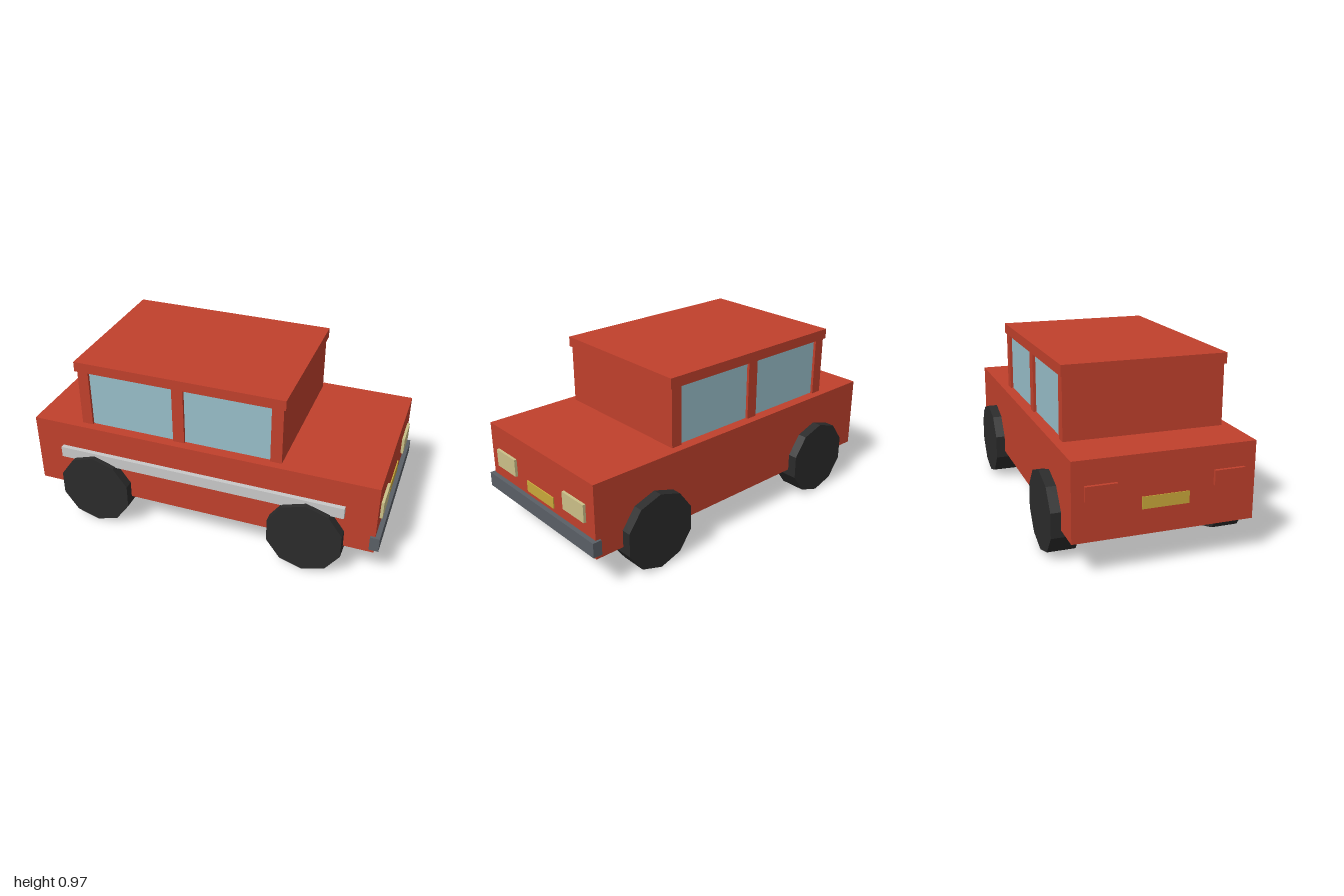
import * as THREE from 'three';

const material = (name, color) => {
  const m = new THREE.MeshStandardMaterial({ color });
  m.name = name;
  return m;
};

export function createModel() {
  const car = new THREE.Group();
  car.name = 'car';
  const red = material('red paint', 0xc0402c);
  const glass = material('window blue', 0x98bec9);
  const rubber = material('tyre black', 0x2b2b2b);
  const chrome = material('trim silver', 0xc8c8c8);
  const steel = material('bumper grey', 0x5a5f66);
  const lamp = material('lamp cream', 0xcbc088);
  const yellow = material('plate yellow', 0xc9a83a);

  // Box given by its limits on each axis
  const box = (name, mat, [x0, x1], [y0, y1], [z0, z1]) => {
    const mesh = new THREE.Mesh(new THREE.BoxGeometry(x1 - x0, y1 - y0, z1 - z0), mat);
    mesh.position.set((x0 + x1) / 2, (y0 + y1) / 2, (z0 + z1) / 2);
    mesh.name = name;
    car.add(mesh);
  };

  // Lower body
  box('body', red, [-0.983, 0.973], [0.183, 0.59], [-0.47, 0.47]);

  // Cabin: end walls and middle pillar with recessed glass between
  const cabinY = [0.59, 0.916];
  const cabinZ = [-0.425, 0.425];
  box('rearCabinWall', red, [-0.707, -0.645], cabinY, cabinZ);
  box('middlePillar', red, [-0.161, -0.097], cabinY, cabinZ);
  box('frontCabinWall', red, [0.385, 0.448], cabinY, cabinZ);
  box('rearWindows', glass, [-0.645, -0.161], cabinY, [-0.41, 0.41]);
  box('frontWindows', glass, [-0.097, 0.385], cabinY, [-0.41, 0.41]);
  box('roof', red, [-0.72, 0.46], [0.916, 0.972], [-0.433, 0.433]);

  // Bumper, single side trim and number plates
  box('bumper', steel, [0.947, 0.998], [0.207, 0.289], [-0.483, 0.483]);
  box('sideTrim', chrome, [-0.823, 0.806], [0.379, 0.442], [0.47, 0.496]);
  box('frontPlate', yellow, [0.973, 0.979], [0.313, 0.376], [-0.122, 0.122]);
  box('rearPlate', yellow, [-0.987, -0.983], [0.313, 0.376], [-0.122, 0.122]);

  // Lamps and ten-sided wheels, mirrored across z
  const wheel = new THREE.CylinderGeometry(0.213, 0.213, 0.147, 10).toNonIndexed();
  wheel.rotateX(Math.PI / 2);
  wheel.computeVertexNormals();
  for (const s of [1, -1]) {
    const span = (a, b) => (s > 0 ? [a, b] : [-b, -a]);
    const side = s > 0 ? 'left' : 'right';
    box(side + 'Headlight', lamp, [0.973, 0.988], [0.36, 0.459], span(0.221, 0.4));
    box(side + 'TailLight', red, [-1, -0.983], [0.39, 0.466], span(0.248, 0.408));
    for (const x of [-0.617, 0.608]) {
      const mesh = new THREE.Mesh(wheel, rubber);
      mesh.name = x > 0 ? 'frontWheel' : 'rearWheel';
      mesh.position.set(x, 0.213, s * 0.449);
      car.add(mesh);
    }
  }
  return car;
}
